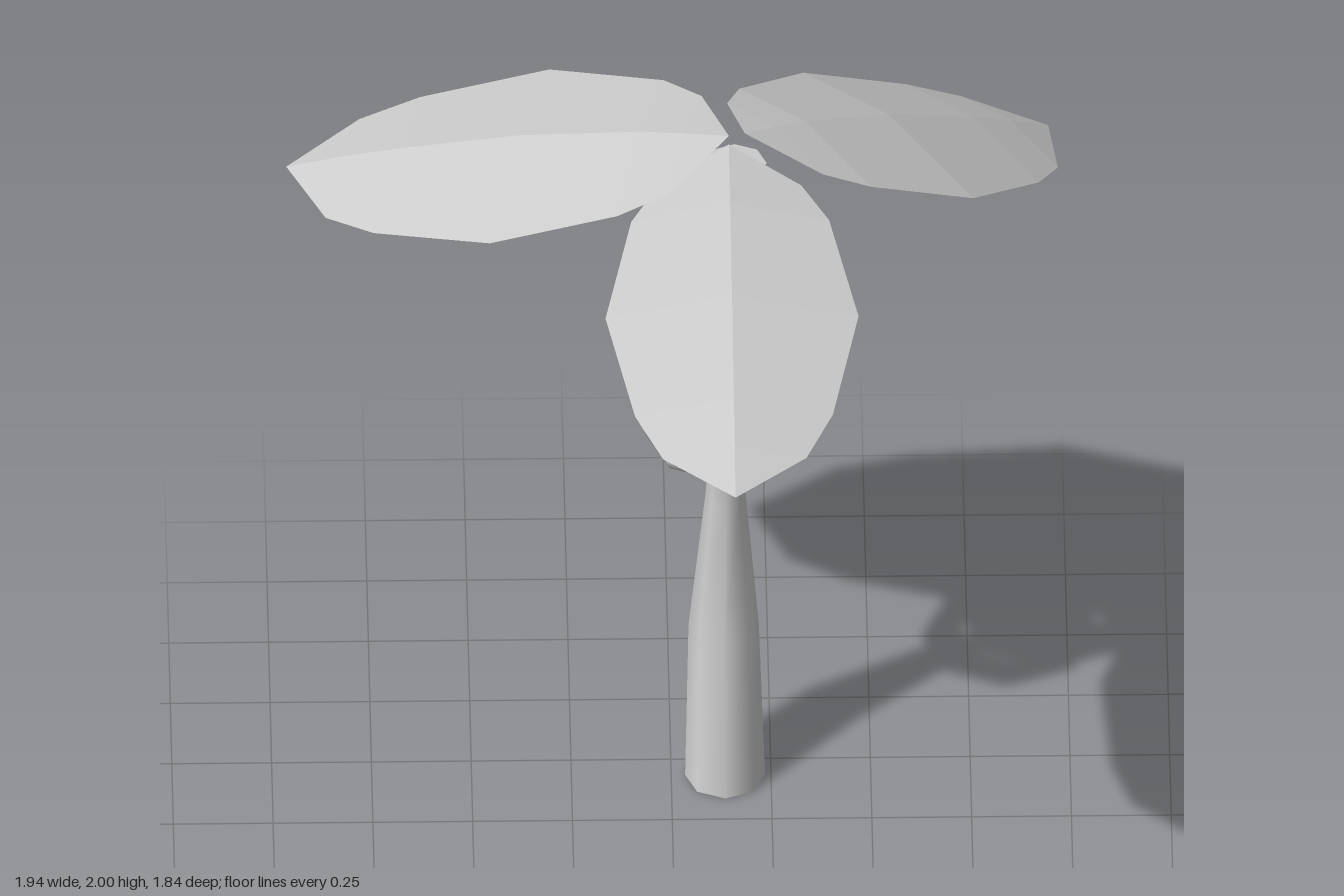
import * as THREE from 'three';

const grey = new THREE.MeshStandardMaterial({ color: 0xcccccc });
const leafMaterial = new THREE.MeshStandardMaterial({
  color: 0xcccccc, flatShading: true, side: THREE.DoubleSide,
});
const SIDES = 8;

function makeMesh(name, geometry, material) {
  const mesh = new THREE.Mesh(geometry, material);
  mesh.name = name;
  return mesh;
}

// Smooth closed tube through horizontal circles [x, y, z, radius]
function loft(sections) {
  const pos = [], index = [];
  const ring = ([x, y, z, r]) => {
    const start = pos.length / 3;
    for (let i = 0; i < SIDES; i++) {
      const a = (i / SIDES) * Math.PI * 2;
      pos.push(x + r * Math.cos(a), y, z + r * Math.sin(a));
    }
    return start;
  };
  const starts = sections.map(ring);
  for (let s = 0; s < starts.length - 1; s++) {
    for (let i = 0; i < SIDES; i++) {
      const j = (i + 1) % SIDES, a = starts[s], b = starts[s + 1];
      index.push(a + i, b + i, a + j, b + i, b + j, a + j);
    }
  }
  // Caps have their own vertices, so the rims stay sharp
  const bottom = ring(sections[0]), top = ring(sections[sections.length - 1]);
  for (let i = 1; i < SIDES - 1; i++) {
    index.push(bottom, bottom + i, bottom + i + 1, top, top + i + 1, top + i);
  }
  const g = new THREE.BufferGeometry();
  g.setAttribute('position', new THREE.Float32BufferAttribute(pos, 3));
  g.setIndex(index);
  g.computeVertexNormals();
  return g;
}

// Leaf stations: [fraction of length, half width, arch above the straight spine]
const STATIONS = [
  [0, 0, 0], [0.1, 0.18, 0.018], [0.2, 0.248, 0.033], [0.473, 0.317, 0.048],
  [0.75, 0.248, 0.033], [0.873, 0.18, 0.02], [1, 0, 0],
];

// Pointed leaf with a raised spine; roll tilts it across its width
function leaf(base, tip, roll) {
  const a = new THREE.Vector3(...base), b = new THREE.Vector3(...tip);
  const across = new THREE.Vector3(b.z - a.z, 0, a.x - b.x).normalize();
  const rows = STATIONS.map(([t, half, arch]) => {
    const spine = a.clone().lerp(b, t);
    spine.y += arch;
    return [-1, 0, 1].map((side) => {
      const p = spine.clone().addScaledVector(across, side * half);
      p.y += half * (roll * side - 0.21 * Math.abs(side));
      return p;
    });
  });
  const points = [];
  const triangle = (p, q, r) => {
    if (new THREE.Triangle(p, q, r).getArea() > 1e-6) points.push(p, q, r);
  };
  for (let s = 0; s < rows.length - 1; s++) {
    for (let k = 0; k < 2; k++) {
      const [p, q] = [rows[s][k], rows[s][k + 1]];
      const [u, v] = [rows[s + 1][k], rows[s + 1][k + 1]];
      triangle(p, u, q);
      triangle(q, u, v);
    }
  }
  const g = new THREE.BufferGeometry().setFromPoints(points);
  g.computeVertexNormals();
  return g;
}

export function createModel() {
  const model = new THREE.Group();
  model.name = 'palmTree';

  // Bent trunk, thick at the foot
  model.add(makeMesh('trunk', loft([
    [0.135, 0, -0.185, 0.1], [0.133, 0.4, -0.283, 0.088], [0.138, 0.8, -0.298, 0.05],
    [0.142, 1.0, -0.272, 0.042], [0.147, 1.2, -0.25, 0.041], [0.15, 1.42, -0.238, 0.045],
  ]), grey));

  // Thicker crown shaft under the leaves
  model.add(makeMesh('crownShaft', loft([
    [0.15, 1.38, -0.24, 0.044], [0.153, 1.45, -0.232, 0.055], [0.154, 1.48, -0.23, 0.08],
    [0.16, 1.75, -0.22, 0.089], [0.16, 1.9, -0.213, 0.08],
  ]), grey));

  // Three loose rings around the trunk
  for (const [y, z] of [[1.043, -0.267], [1.195, -0.262], [1.33, -0.24]]) {
    const ring = makeMesh('ring', new THREE.TorusGeometry(0.175, 0.043, 8, 8), grey);
    ring.rotation.x = Math.PI / 2;
    ring.position.set(0.14, y, z);
    model.add(ring);
  }

  // Three drooping leaves
  model.add(makeMesh('frontLeaf', leaf([0.145, 1.947, -0.23], [0.145, 1.705, 0.915], 0), leafMaterial));
  model.add(makeMesh('rightLeaf', leaf([0.145, 2, -0.195], [-0.96, 1.7, -0.48], -0.125), leafMaterial));
  model.add(makeMesh('leftLeaf', leaf([0.185, 2, -0.205], [0.955, 1.505, -0.88], 0.06), leafMaterial));
  return model;
}
